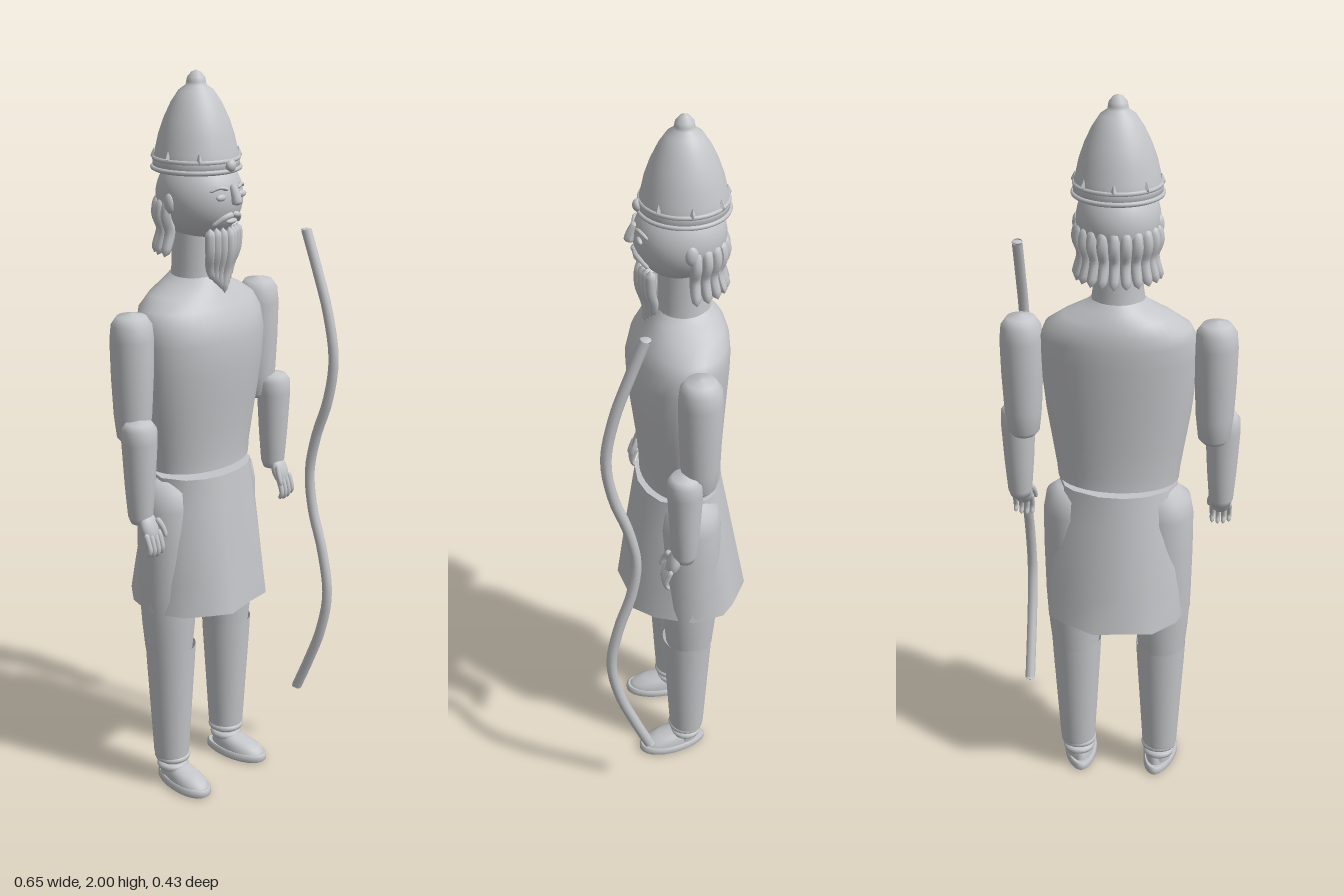
import * as THREE from 'three';

const stone = new THREE.MeshStandardMaterial({ color: 0xc4c5c8, side: THREE.DoubleSide });
stone.name = 'pale grey';
const V = (x, y, z) => new THREE.Vector3(x, y, z);

function add(parent, name, geo, x = 0, y = 0, z = 0) {
  const m = new THREE.Mesh(geo, stone);
  m.name = name;
  m.position.set(x, y, z);
  parent.add(m);
  return m;
}

// surface of revolution from [radius, height] pairs, listed bottom to top
const turned = (pts, n = 32) => new THREE.LatheGeometry(pts.map(p => new THREE.Vector2(...p)), n);

// skin over closed rings of points, listed bottom to top, running from +z towards +x
function loft(rings, caps = true) {
  const n = rings[0].length, pos = [], idx = [];
  rings.forEach(r => r.forEach(p => pos.push(p.x, p.y, p.z)));
  for (let j = 0; j < rings.length - 1; j++) for (let i = 0; i < n; i++) {
    const a = j * n + i, b = j * n + (i + 1) % n;
    idx.push(a, b, b + n, a, b + n, a + n);
  }
  if (caps) [rings[0], rings[rings.length - 1]].forEach((r, k) => {
    const s = pos.length / 3;
    const c = r.reduce((t, p) => t.add(p), V(0, 0, 0)).divideScalar(n);
    r.forEach(p => pos.push(p.x, p.y, p.z));
    pos.push(c.x, c.y, c.z);
    for (let i = 0; i < n; i++) {
      const a = s + i, b = s + (i + 1) % n;
      k ? idx.push(a, b, s + n) : idx.push(b, a, s + n);
    }
  });
  const g = new THREE.BufferGeometry();
  g.setAttribute('position', new THREE.Float32BufferAttribute(pos, 3));
  g.setIndex(idx);
  g.computeVertexNormals();
  return g;
}

// oval ring from height, half width, front z and back z
function oval([y, rx, zf, zb], n = 36) {
  return Array.from({ length: n }, (_, i) => {
    const a = i / n * Math.PI * 2;
    return V(rx * Math.sin(a), y, (zf + zb) / 2 + (zf - zb) / 2 * Math.cos(a));
  });
}

// tapering strand with rounded ends, following a curve
function strand(points, r, tip = 0.6, segs = 14) {
  const curve = new THREE.CatmullRomCurve3(points);
  const g = new THREE.TubeGeometry(curve, segs, r, 8, false);
  const p = g.attributes.position, v = V(0, 0, 0);
  for (let i = 0; i < p.count; i++) {
    const t = Math.floor(i / 9) / segs;
    const end = Math.sqrt(Math.max(0, 1 - Math.pow(Math.abs(2 * t - 1), 8)));
    const c = curve.getPointAt(t);
    v.fromBufferAttribute(p, i).sub(c).multiplyScalar(end * (1 + (tip - 1) * t)).add(c);
    p.setXYZ(i, v.x, v.y, v.z);
  }
  g.computeVertexNormals();
  return g;
}

function ball(parent, name, sx, sy, sz, x, y, z) {
  const m = add(parent, name, new THREE.SphereGeometry(1, 28, 20), x, y, z);
  m.scale.set(sx, sy, sz);
  return m;
}

function buildHead() {
  const head = new THREE.Group();
  head.name = 'head';
  add(head, 'neck', turned([[0.075, 1.44], [0.066, 1.5], [0.064, 1.62]]), 0, 0, -0.045);
  ball(head, 'skull', 0.108, 0.115, 0.118, 0, 1.685, -0.035);

  // face
  add(head, 'nose', strand([V(0, 1.725, 0.074), V(0, 1.695, 0.088), V(0, 1.672, 0.094)], 0.011, 1.3));
  for (const s of [-1, 1]) {
    ball(head, 'eye', 0.017, 0.009, 0.008, s * 0.04, 1.695, 0.073);
    add(head, 'eyebrow', strand([V(s * 0.017, 1.713, 0.077), V(s * 0.042, 1.72, 0.071), V(s * 0.066, 1.71, 0.056)], 0.006));
    add(head, 'moustache', strand([V(0, 1.648, 0.08), V(s * 0.025, 1.643, 0.075), V(s * 0.052, 1.62, 0.052)], 0.009));
    ball(head, 'ear', 0.012, 0.026, 0.017, s * 0.104, 1.675, -0.045);
  }
  ball(head, 'lips', 0.02, 0.007, 0.008, 0, 1.63, 0.074);

  // beard strands, longest in the middle
  for (let i = -3; i <= 3; i++) {
    const k = Math.abs(i);
    add(head, 'beardStrand', strand([
      V(i * 0.018, 1.615, 0.066 - k * 0.006),
      V(i * 0.0175, 1.55, 0.068 - k * 0.007),
      V(i * 0.014, 1.49 + k * 0.006, 0.052 - k * 0.005),
      V(i * 0.01, 1.437 + k * 0.012, 0.052 - k * 0.004)], 0.0145, 0.7));
  }

  // curling locks round the back of the head
  for (let i = 0; i < 11; i++) {
    const a = Math.PI / 2 + 0.12 + i / 10 * (Math.PI - 0.24);
    const at = (r, y) => V(r * Math.sin(a), y, -0.045 + r * Math.cos(a));
    add(head, 'hairLock', strand([at(0.095, 1.685), at(0.104, 1.64), at(0.092, 1.6),
      at(0.1, 1.565), at(0.112, 1.535)], 0.0155, 0.85));
  }
  return head;
}

function buildHat() {
  const hat = new THREE.Group();
  hat.name = 'hat';
  hat.position.z = -0.045;
  add(hat, 'cone', turned([[0.001, 1.75], [0.112, 1.75], [0.113, 1.775], [0.107, 1.8], [0.098, 1.84],
    [0.084, 1.88], [0.065, 1.92], [0.045, 1.95], [0.027, 1.963], [0.025, 1.972],
    [0.023, 1.982], [0.012, 1.995], [0, 2]], 40));
  for (const [y, r] of [[1.757, 0.113], [1.782, 0.109]])
    add(hat, 'hatBand', new THREE.TorusGeometry(r, 0.006, 8, 40).rotateX(Math.PI / 2), 0, y, 0);
  // pointed studs round the band
  for (let i = 1; i < 8; i++) {
    const a = i * Math.PI / 4;
    const stud = add(hat, 'stud', new THREE.OctahedronGeometry(1), 0.108 * Math.sin(a), 1.787, 0.108 * Math.cos(a));
    stud.scale.set(0.008, 0.021, 0.01);
    stud.rotation.y = a;
  }
  ball(hat, 'frontJewel', 0.016, 0.016, 0.013, 0, 1.771, 0.115);
  return hat;
}

function buildArm(s) {
  const arm = new THREE.Group();
  arm.name = s > 0 ? 'leftArm' : 'rightArm';
  add(arm, 'upperArm', turned([[0, 1.07], [0.03, 1.075], [0.043, 1.09], [0.05, 1.15], [0.055, 1.25],
    [0.057, 1.35], [0.053, 1.39], [0.038, 1.412], [0, 1.42]]), s * 0.255, 0, -0.042);
  add(arm, 'forearm', turned([[0, 0.86], [0.026, 0.866], [0.033, 0.885], [0.04, 0.97], [0.047, 1.09],
    [0.046, 1.125], [0.034, 1.142], [0, 1.148]]), s * 0.277, 0, 0);
  const palm = ball(arm, 'palm', 0.028, 0.042, 0.018, s * 0.275, 0.86, 0.028);
  palm.rotation.x = -0.35;
  for (let i = 0; i < 4; i++) {
    const x = s * (0.253 + i * 0.0155), d = [0.004, 0, 0.002, 0.008][i];
    add(arm, 'finger', strand([V(x, 0.85, 0.038), V(x, 0.82, 0.05), V(x, 0.795 + d, 0.054), V(x, 0.778 + d, 0.044)], 0.008, 0.8));
  }
  add(arm, 'thumb', strand([V(s * 0.255, 0.88, 0.035), V(s * 0.245, 0.853, 0.05), V(s * 0.243, 0.828, 0.06)], 0.009));
  return arm;
}

function buildLeg(s) {
  const leg = new THREE.Group();
  leg.name = s > 0 ? 'leftLeg' : 'rightLeg';
  add(leg, 'thigh', turned([[0.066, 0.43], [0.073, 0.5], [0.08, 0.6], [0.083, 0.75], [0.083, 0.86],
    [0.074, 0.912], [0.045, 0.937], [0, 0.943]]), s * 0.122, 0, -0.045);
  add(leg, 'shin', turned([[0.046, 0.08], [0.05, 0.1], [0.059, 0.25], [0.067, 0.38], [0.07, 0.44]]), s * 0.12, 0, -0.04);
  add(leg, 'ankle', turned([[0.034, 0.03], [0.034, 0.09]]), s * 0.118, 0, -0.038);
  for (const [y, r] of [[0.086, 0.04], [0.058, 0.034]])
    add(leg, 'ankleRing', new THREE.TorusGeometry(r, 0.011, 10, 28).rotateX(Math.PI / 2), s * 0.118, y, -0.038);

  // slipper: long oval sole with a low upper
  const foot = new THREE.Group();
  foot.name = 'foot';
  foot.position.set(s * 0.118, 0, 0.003);
  foot.rotation.y = s * 0.12;
  const slab = rows => loft(rows.map(([y, k, zf, zb]) => oval([y, k, zf, zb]).map(p => {
    p.x *= 1 + 1.5 * p.z;
    return p;
  })));
  add(foot, 'sole', slab([[0, 0.042, 0.094, -0.094], [0.005, 0.047, 0.1, -0.1], [0.018, 0.047, 0.1, -0.1], [0.024, 0.042, 0.095, -0.095]]));
  add(foot, 'upper', slab([[0.022, 0.041, 0.09, -0.082], [0.036, 0.04, 0.08, -0.08], [0.05, 0.034, 0.045, -0.076], [0.062, 0.026, 0.0, -0.068]]));
  leg.add(foot);
  return leg;
}

export function createModel() {
  const model = new THREE.Group();
  model.name = 'archerFigure';
  model.add(buildHead(), buildHat());

  // torso
  add(model, 'torso', loft([
    [0.963, 0.163, 0.072, -0.148], [1.0, 0.167, 0.072, -0.146], [1.08, 0.18, 0.08, -0.148],
    [1.16, 0.193, 0.09, -0.152], [1.24, 0.202, 0.1, -0.157], [1.32, 0.206, 0.104, -0.162],
    [1.37, 0.204, 0.092, -0.163], [1.405, 0.19, 0.072, -0.16], [1.435, 0.145, 0.052, -0.15],
    [1.46, 0.09, 0.038, -0.135], [1.48, 0.066, 0.025, -0.118]].map(r => oval(r))));

  // skirt: oval waist flaring to an uneven hem
  const hem = [[-0.057, 0.132], [0.03, 0.118], [0.11, 0.114], [0.16, 0.06], [0.202, -0.04], [0.185, -0.13],
    [0.145, -0.165], [0.055, -0.218], [-0.03, -0.208], [-0.107, -0.2], [-0.168, -0.134], [-0.202, -0.04],
    [-0.165, 0.05], [-0.11, 0.095]].map(([x, z]) => V(x, 0.56, z));
  const waist = hem.map(p => {
    const a = Math.atan2(p.x / 0.2, (p.z + 0.043) / 0.17);
    return V(0.16 * Math.sin(a), 0.947, -0.033 + 0.117 * Math.cos(a));
  });
  const rows = [0, 0.25, 0.5, 0.75, 1].map(t => hem.map((p, i) => {
    const q = p.clone().lerp(waist[i], t);
    q.x *= 1 + 0.05 * Math.sin(Math.PI * t);
    return q;
  }));
  add(model, 'skirt', loft(rows, false));
  add(model, 'waistCap', loft([waist.map(p => p.clone().setY(0.935)), waist]));
  ball(model, 'pelvis', 0.15, 0.14, 0.1, 0, 0.76, -0.045);

  for (const s of [-1, 1]) model.add(buildArm(s), buildLeg(s));

  // double-curved bow in front of the left hand
  const bow = new THREE.CatmullRomCurve3([[1.565, 0.1], [1.46, 0.14], [1.35, 0.178], [1.22, 0.202], [1.1, 0.186],
    [0.99, 0.15], [0.88, 0.13], [0.77, 0.143], [0.65, 0.18], [0.52, 0.202], [0.4, 0.182], [0.29, 0.142], [0.19, 0.1]]
    .map(([y, z]) => V(0.282, y, z)));
  add(model, 'bow', new THREE.TubeGeometry(bow, 48, 0.0145, 10, false));
  for (const t of [0, 1]) ball(model, 'bowTip', 0.0145, 0.004, 0.0145, ...bow.getPoint(t).toArray());
  return model;
}
